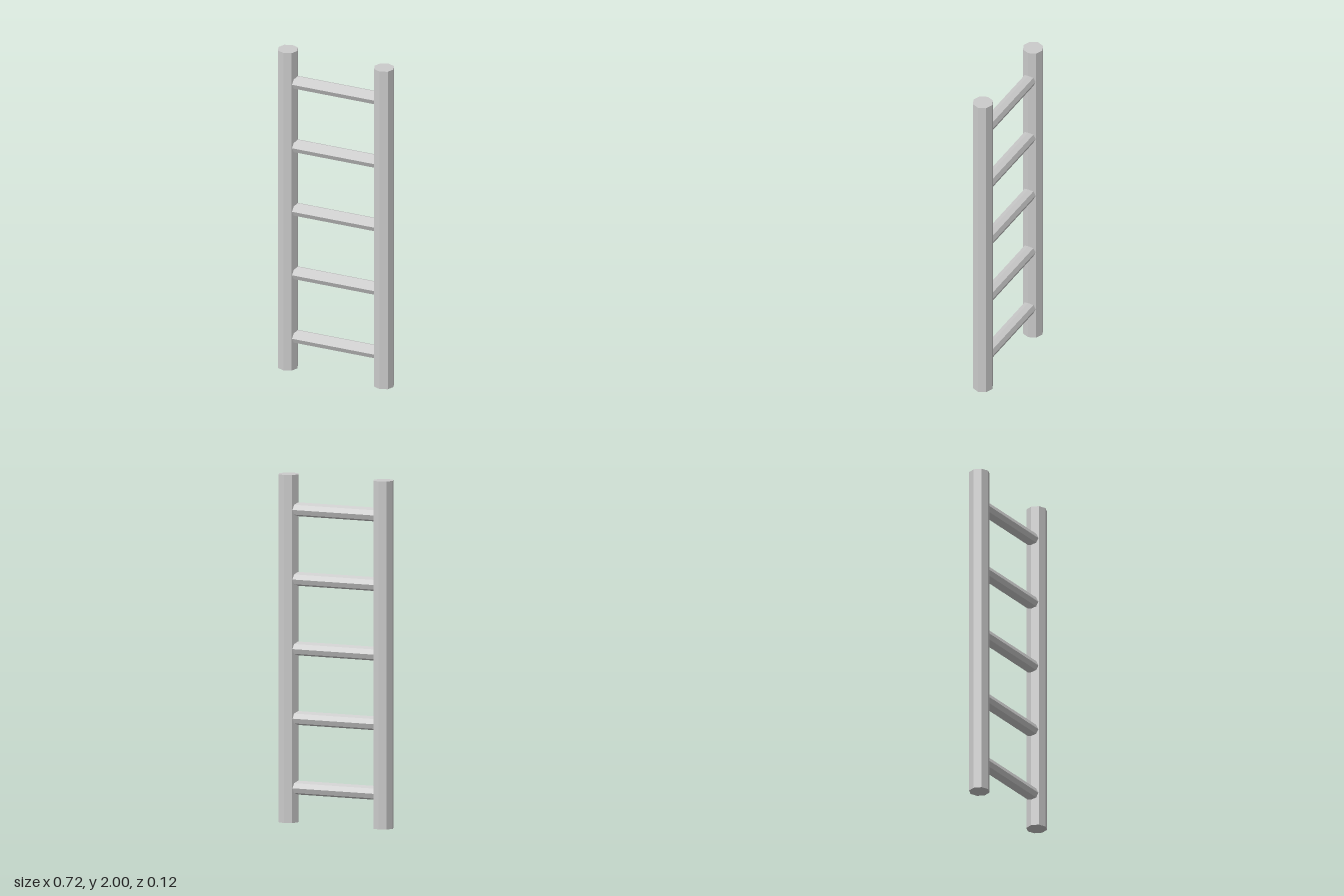
import * as THREE from 'three';

export function createModel() {
  const ladder = new THREE.Group();
  ladder.name = 'ladder';
  const material = new THREE.MeshStandardMaterial({ color: 0xcccccc, flatShading: true });

  const height = 2;
  const railX = 0.3;
  const railGeometry = new THREE.CylinderGeometry(0.06, 0.06, height, 8);
  const rungGeometry = new THREE.CylinderGeometry(0.04, 0.04, railX * 2, 8).rotateZ(Math.PI / 2);

  // Upright octagonal side rails
  for (const side of [-1, 1]) {
    const rail = new THREE.Mesh(railGeometry, material);
    rail.name = side > 0 ? 'leftRail' : 'rightRail';
    rail.position.set(side * railX, height / 2, 0);
    ladder.add(rail);
  }

  // Evenly spaced rungs, running between the rail centres
  for (let i = 0; i < 5; i++) {
    const rung = new THREE.Mesh(rungGeometry, material);
    rung.name = `rung${i + 1}`;
    rung.position.y = 0.2 + i * 0.4;
    ladder.add(rung);
  }

  return ladder;
}
